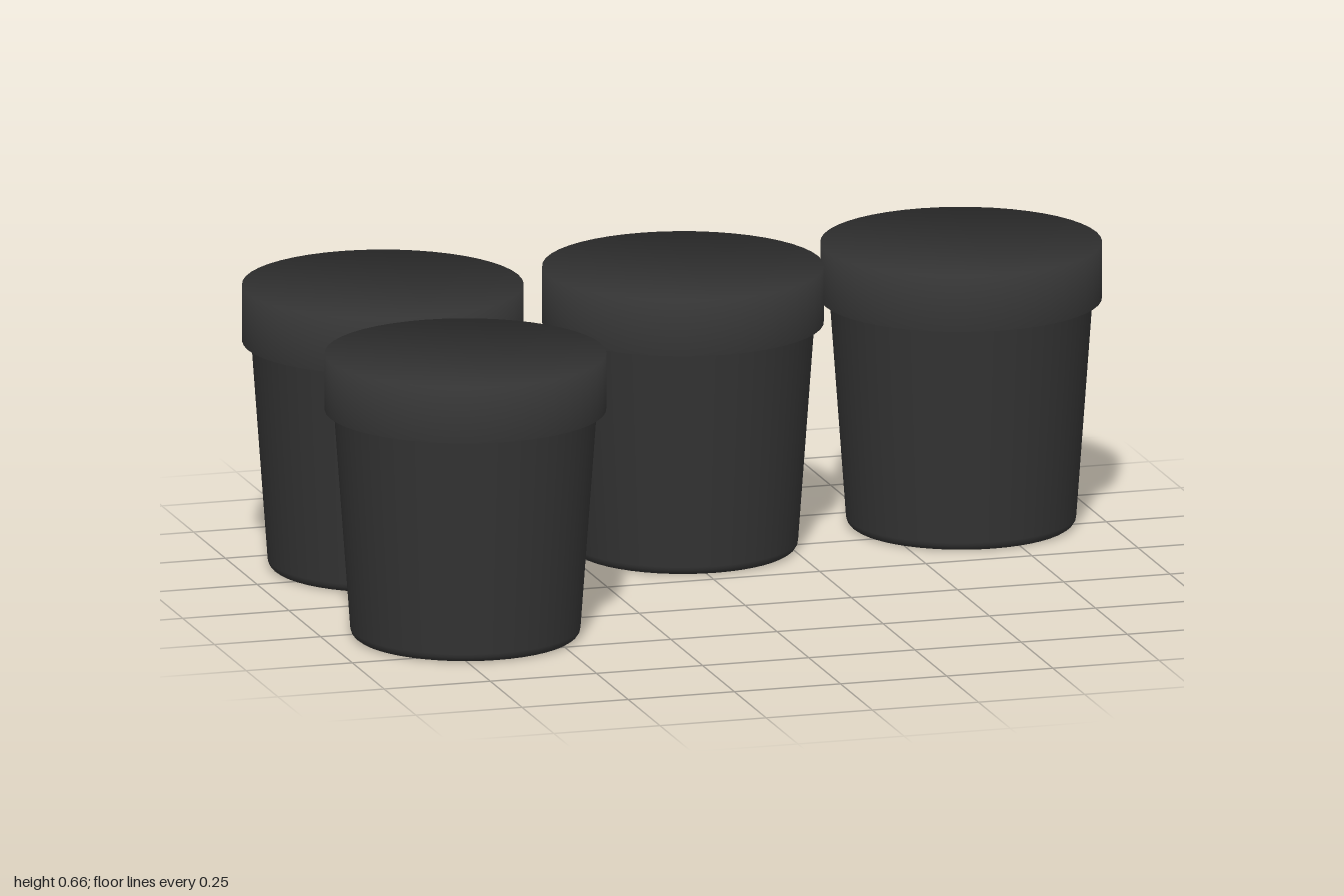
import * as THREE from 'three';

const SEGMENTS = 48;
const RIM_R = 0.318, RIM_BOTTOM = 0.53, RIM_TOP = 0.66;
const material = new THREE.MeshStandardMaterial({ color: 0x333333 });

const lathe = (pairs) =>
  new THREE.LatheGeometry(pairs.map(([r, y]) => new THREE.Vector2(r, y)), SEGMENTS);

// Tapered body: flat base, small rounded foot, straight wall
function bodyGeometry() {
  const foot = 0.02, base = 0.004;
  const profile = [[0, base]];
  for (let i = 0; i <= 4; i++) {
    const a = (i / 4) * Math.PI / 2;
    profile.push([0.24 + foot * Math.sin(a), base + foot * (1 - Math.cos(a))]);
  }
  profile.push([0.297, RIM_BOTTOM]);
  return lathe(profile);
}

// Wide collar closed by a flat top, with normals blended softly over the upper edge
function rimGeometry() {
  const geometry = lathe([[RIM_R, RIM_BOTTOM], [RIM_R, RIM_TOP]]);
  const normal = geometry.attributes.normal;
  const index = Array.from(geometry.index.array);
  for (let i = 0; i <= SEGMENTS; i++) {
    const a = (i / SEGMENTS) * Math.PI * 2;
    const x = Math.sin(a) * Math.SQRT1_2, z = Math.cos(a) * Math.SQRT1_2;
    normal.setXYZ(i * 2 + 1, x, Math.SQRT1_2, z);
    if (i > 0 && i < SEGMENTS - 1) index.push(1, i * 2 + 1, i * 2 + 3);
  }
  geometry.setIndex(index);
  return geometry;
}

export function createModel() {
  const model = new THREE.Group();
  model.name = 'potSet';

  const parts = {
    body: bodyGeometry(),
    rim: rimGeometry(),
    rimUnderside: lathe([[0.29, RIM_BOTTOM], [RIM_R, RIM_BOTTOM]]),
  };

  // Three pots in a back row, one in front
  const places = {
    backRightPot: [-0.68, -0.33],
    backMiddlePot: [0.017, -0.297],
    backLeftPot: [0.682, -0.33],
    frontRightPot: [-0.682, 0.327],
  };
  for (const [name, [x, z]] of Object.entries(places)) {
    const pot = new THREE.Group();
    pot.name = name;
    for (const [part, geometry] of Object.entries(parts)) {
      const mesh = new THREE.Mesh(geometry, material);
      mesh.name = part;
      pot.add(mesh);
    }
    pot.position.set(x, 0, z);
    model.add(pot);
  }
  return model;
}
